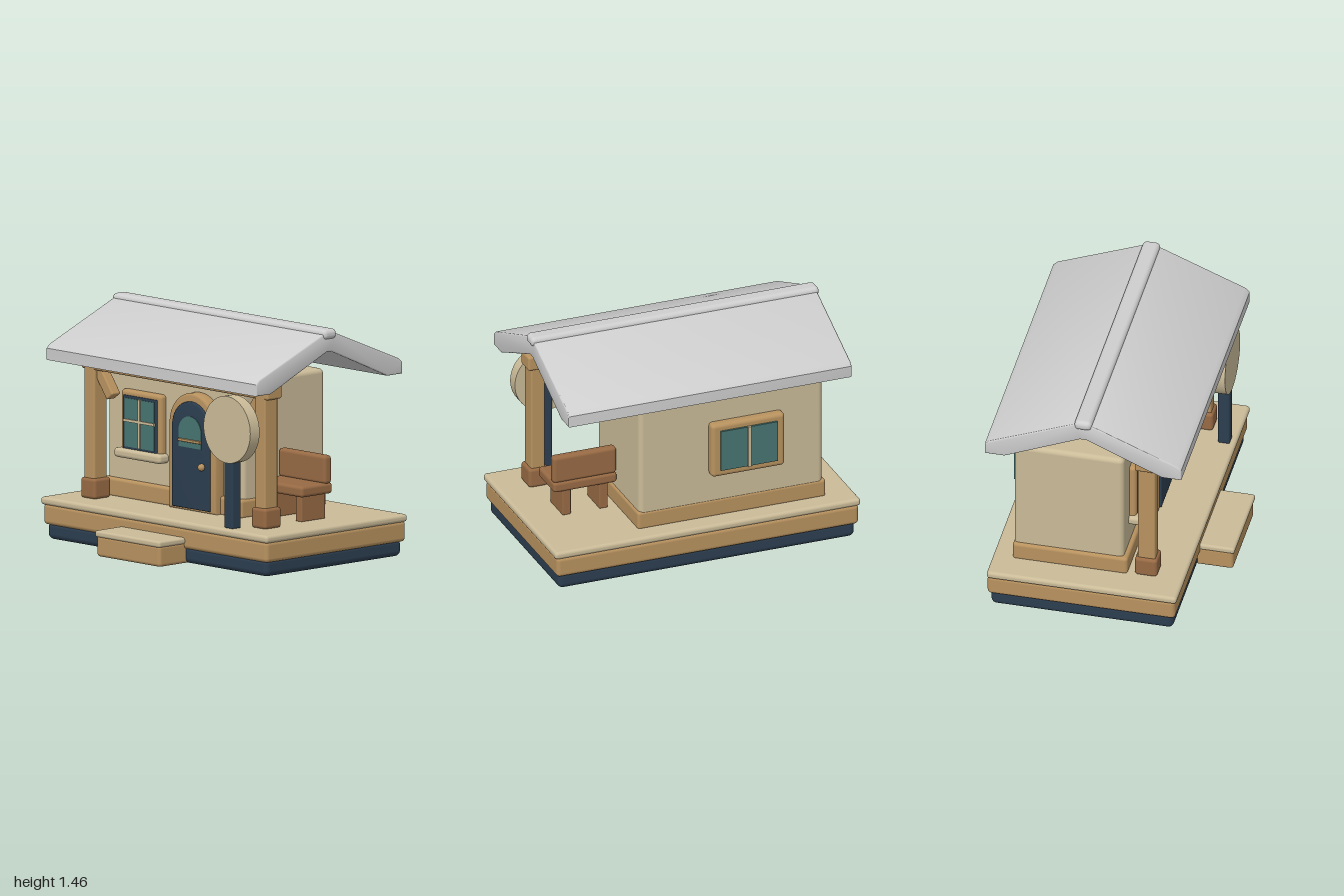
import * as THREE from 'three';
import { toCreasedNormals } from 'three/addons/utils/BufferGeometryUtils.js';
import { RoundedBoxGeometry } from 'three/addons/geometries/RoundedBoxGeometry.js';

const mat = (name, color) => {
  const m = new THREE.MeshStandardMaterial({ color });
  m.name = name;
  return m;
};

export function createModel() {
  const cream = mat('cream', 0xcabb98);
  const tan = mat('tan wood', 0xb8925f);
  const brown = mat('brown wood', 0x976a44);
  const navy = mat('navy', 0x2c3e50);
  const teal = mat('teal glass', 0x477571);
  const grey = mat('roof grey', 0xcecece);

  const model = new THREE.Group();
  model.name = 'cottage';

  const group = (name) => {
    const g = new THREE.Group();
    g.name = name;
    model.add(g);
    return g;
  };
  const add = (parent, name, geo, material) => {
    const m = new THREE.Mesh(geo, material);
    m.name = name;
    parent.add(m);
    return m;
  };
  // Box given by its limits on each axis; r is the edge rounding
  const box = (parent, name, material, [x0, x1], [y0, y1], [z0, z1], r = 0) => {
    const w = x1 - x0, h = y1 - y0, d = z1 - z0;
    const geo = r ? new RoundedBoxGeometry(w, h, d, 3, r) : new THREE.BoxGeometry(w, h, d);
    const m = add(parent, name, geo, material);
    m.position.set((x0 + x1) / 2, (y0 + y1) / 2, (z0 + z1) / 2);
    return m;
  };
  // Extrusion with bevels kept inside the outline
  const extrude = (shape, depth, b) => {
    const geo = new THREE.ExtrudeGeometry(shape, {
      depth: depth - 2 * b, curveSegments: 24, bevelEnabled: b > 0,
      bevelSize: b, bevelThickness: b, bevelOffset: -b, bevelSegments: 3,
    });
    geo.translate(0, 0, b);
    return toCreasedNormals(geo, 0.6);
  };
  // Upright panel with a half-round top
  const arch = (parent, name, material, cx, r, y0, ySpring, z0, z1, b) => {
    const s = new THREE.Shape();
    s.moveTo(cx - r, y0);
    s.lineTo(cx + r, y0);
    s.lineTo(cx + r, ySpring);
    s.absarc(cx, ySpring, r, 0, Math.PI, false);
    s.closePath();
    add(parent, name, extrude(s, z1 - z0, b), material).position.z = z0;
  };

  // Platform and step
  const platform = group('platform');
  box(platform, 'foundation', navy, [-0.97, 0.97], [0, 0.11], [-0.66, 0.477], 0.035);
  box(platform, 'deckSide', tan, [-0.988, 0.988], [0.09, 0.22], [-0.678, 0.492], 0.025);
  box(platform, 'deckTop', cream, [-1, 1], [0.212, 0.26], [-0.68, 0.504], 0.02);
  const step = group('step');
  box(step, 'stepBlock', tan, [-0.3, 0.26], [0, 0.13], [0.42, 0.697], 0.02);
  box(step, 'stepTread', cream, [-0.308, 0.266], [0.12, 0.16], [0.42, 0.706], 0.015);

  // House walls
  const house = group('house');
  box(house, 'walls', cream, [-0.8, 0.4], [0.24, 1.1], [-0.553, 0.13], 0.03);
  box(house, 'baseboard', tan, [-0.82, 0.412], [0.25, 0.37], [-0.558, 0.158], 0.02);

  // Roof: gable section running along x, with a ridge cap
  const roof = group('roof');
  const mid = -0.093, section = new THREE.Shape();
  [[0.612, 1.113], [0.612, 1.185], [0.585, 1.21], [0.05, 1.43], [-0.05, 1.43], [-0.585, 1.21],
    [-0.612, 1.185], [-0.612, 1.113], [-0.49, 1.113], [-0.02, 1.318], [0.02, 1.318], [0.49, 1.113]]
    .forEach(([z, y], i) => section[i ? 'lineTo' : 'moveTo'](z + mid, y));
  section.closePath();
  const roofGeo = extrude(section, 1.855, 0.008);
  roofGeo.rotateY(-Math.PI / 2);
  add(roof, 'roofSlopes', roofGeo, grey).position.x = 0.925;
  box(roof, 'ridgeCap', grey, [-0.945, 0.94], [1.395, 1.458], [mid - 0.054, mid + 0.054], 0.028);

  // Porch: posts and braces mirrored left and right
  const porch = group('porch');
  box(porch, 'beam', tan, [-0.825, 0.822], [1.052, 1.146], [0.203, 0.327], 0.015);
  for (const s of [-1, 1]) {
    const x = s * 0.753;
    box(porch, 'post', tan, [x - 0.046, x + 0.046], [0.26, 1.08], [0.217, 0.327], 0.012);
    box(porch, 'postBase', brown, [x - 0.065, x + 0.065], [0.258, 0.385], [0.202, 0.342], 0.02);
    const brace = add(porch, 'brace', new RoundedBoxGeometry(0.07, 0.25, 0.07, 3, 0.01), tan);
    brace.position.set(s * 0.672, 0.998, 0.268);
    brace.rotation.z = -s * 0.63;
  }

  // Door
  const door = group('door');
  const dx = 0.022;
  arch(door, 'doorFrame', tan, dx, 0.205, 0.26, 0.78, 0.12, 0.203, 0.015);
  arch(door, 'doorPanel', navy, dx, 0.165, 0.275, 0.77, 0.14, 0.216, 0.008);
  arch(door, 'doorGlass', teal, dx, 0.1, 0.652, 0.745, 0.213, 0.22, 0);
  box(door, 'doorGlassBar', tan, [dx - 0.1, dx + 0.1], [0.685, 0.703], [0.215, 0.23], 0.005);
  add(door, 'doorKnob', new THREE.SphereGeometry(0.023, 20, 14), tan).position.set(0.13, 0.545, 0.225);

  // Front window
  const win = group('frontWindow');
  const wx = -0.461;
  box(win, 'windowFrame', tan, [wx - 0.179, wx + 0.179], [0.545, 0.93], [0.11, 0.172], 0.022);
  box(win, 'windowSash', navy, [wx - 0.15, wx + 0.15], [0.565, 0.898], [0.13, 0.18], 0.006);
  box(win, 'windowGlass', teal, [wx - 0.132, wx + 0.132], [0.583, 0.882], [0.177, 0.184]);
  box(win, 'uprightBar', cream, [wx - 0.009, wx + 0.009], [0.583, 0.885], [0.18, 0.192]);
  box(win, 'crossBar', cream, [wx - 0.134, wx + 0.134], [0.737, 0.754], [0.18, 0.191]);
  box(win, 'windowSill', cream, [wx - 0.205, wx + 0.205], [0.512, 0.57], [0.12, 0.21], 0.022);

  // Back window
  const back = group('backWindow');
  const bx = -0.29;
  box(back, 'backFrame', tan, [bx - 0.24, bx + 0.24], [0.545, 0.9], [-0.615, -0.54], 0.025);
  box(back, 'backGlass', teal, [bx - 0.185, bx + 0.185], [0.592, 0.857], [-0.628, -0.6]);
  box(back, 'backBar', cream, [bx - 0.01, bx + 0.01], [0.588, 0.86], [-0.636, -0.62]);

  // Round sign on a post
  const sign = group('sign');
  box(sign, 'signPost', navy, [0.588, 0.664], [0.258, 0.885], [0.396, 0.47], 0.01);
  const disc = add(sign, 'signDisc', new THREE.CylinderGeometry(0.206, 0.206, 0.078, 56), cream);
  disc.rotation.x = Math.PI / 2;
  disc.position.set(0.625, 0.868, 0.441);

  // Bench beside the house
  const bench = group('bench');
  box(bench, 'benchSeat', brown, [0.41, 0.825], [0.42, 0.488], [-0.218, 0.042], 0.02);
  box(bench, 'benchBack', brown, [0.41, 0.825], [0.48, 0.657], [-0.212, -0.15], 0.022);
  for (const x of [0.497, 0.738])
    box(bench, 'benchLeg', brown, [x - 0.028, x + 0.028], [0.258, 0.43], [-0.212, -0.012], 0.008);

  return model;
}
